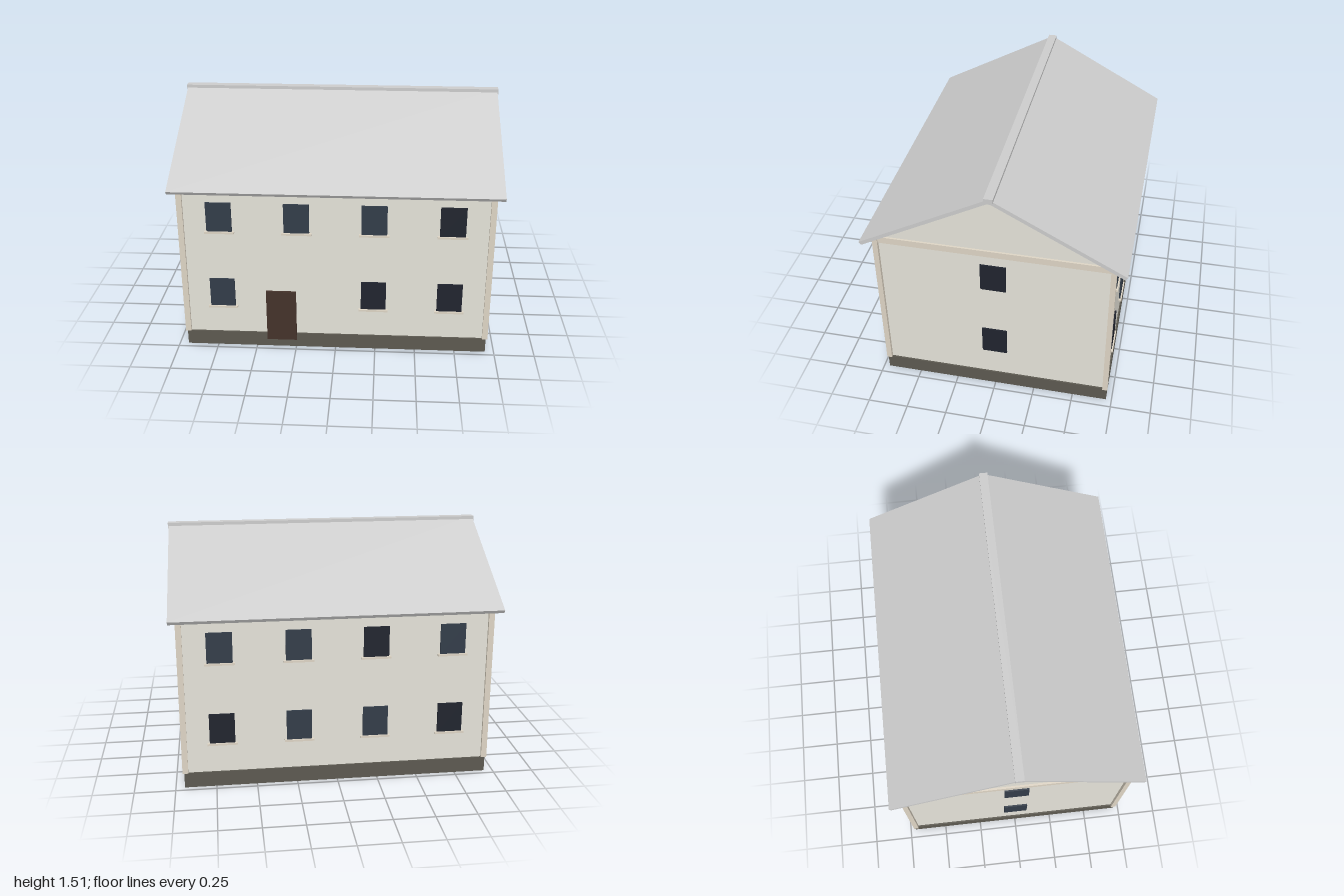
import * as THREE from 'three';

const mat = (color) => new THREE.MeshStandardMaterial({ color });
const MATS = {
  wall: mat(0xe4e2d8), trim: mat(0xddd4c4), plinth: mat(0x5c5950), door: mat(0x44322a),
  roof: mat(0xcccccc), lightGlass: mat(0x323c48), darkGlass: mat(0x20242e),
};

// half sizes of the walls, and the roof line
const WX = 0.935, WZ = 0.705, BASE = 0.095, APEX = 1.482, SLOPE = 0.54;
const underside = (z) => APEX - SLOPE * Math.abs(z);

function box(parent, name, material, size, pos) {
  const mesh = new THREE.Mesh(new THREE.BoxGeometry(...size), material);
  mesh.name = name;
  mesh.position.set(...pos);
  parent.add(mesh);
  return mesh;
}

// extrude a (z, y) outline along x, centred on x = 0
function prism(parent, name, material, points, length) {
  const shape = new THREE.Shape(points.map(([a, b]) => new THREE.Vector2(a, b)));
  const geo = new THREE.ExtrudeGeometry(shape, { depth: length, bevelEnabled: false });
  geo.translate(0, 0, -length / 2);
  geo.rotateY(Math.PI / 2);
  const mesh = new THREE.Mesh(geo, material);
  mesh.name = name;
  parent.add(mesh);
}

export function createModel() {
  const house = new THREE.Group();
  house.name = 'house';

  // plinth and walls with gables
  box(house, 'plinth', MATS.plinth, [1.89, BASE, 1.43], [0, BASE / 2, 0]);
  prism(house, 'walls', MATS.wall, [
    [-WZ, BASE], [WZ, BASE], [WZ, underside(WZ)], [0, APEX], [-WZ, underside(WZ)],
  ], WX * 2);

  // pitched roof as one folded slab, and ridge cap
  prism(house, 'roof', MATS.roof, [
    [-0.772, underside(0.772)], [0, APEX], [0.772, underside(0.772)],
    [0.785, 1.085], [0, 1.509], [-0.785, 1.085],
  ], 1.99);
  box(house, 'ridgeCap', MATS.roof, [2, 0.034, 0.054], [0, 1.497, 0]);

  // corner posts, gable bands and eave bands
  for (const s of [-1, 1]) {
    for (const t of [-1, 1]) {
      box(house, 'cornerPost', MATS.trim, [0.035, 1.0, 0.032], [s * 0.938, BASE + 0.5, t * 0.704]);
    }
    box(house, 'gableBand', MATS.trim, [0.02, 0.042, 1.38], [s * 0.937, 1.078, 0]);
    box(house, 'eaveBand', MATS.trim, [1.85, 0.038, 0.02], [0, 1.076, s * 0.705]);
  }

  // windows: one letter per opening, l = light glass, d = dark glass, - = none
  const columns = [-0.705, -0.235, 0.235, 0.705];
  const rows = [0.895, 0.38];
  const longSides = [
    { z: 1, rows: ['llld', 'l-dd'] },
    { z: -1, rows: ['ldll', 'dlld'] },
  ];
  for (const side of longSides) {
    side.rows.forEach((row, r) => [...row].forEach((kind, c) => {
      if (kind === '-') return;
      const glass = kind === 'l' ? MATS.lightGlass : MATS.darkGlass;
      box(house, 'window', glass, [0.155, 0.19, 0.02], [columns[c], rows[r], side.z * 0.705]);
      box(house, 'windowSill', MATS.trim, [0.182, 0.013, 0.04], [columns[c], rows[r] - 0.1, side.z * 0.704]);
    }));
  }
  for (const y of [0.893, 0.378]) {
    box(house, 'gableWindow', MATS.darkGlass, [0.02, 0.187, 0.155], [WX, y, 0]);
    box(house, 'gableWindow', MATS.lightGlass, [0.02, 0.187, 0.155], [-WX, y, 0]);
  }

  // front door
  box(house, 'frontDoor', MATS.door, [0.187, 0.345, 0.03], [-0.34, 0.222, 0.705]);

  return house;
}
